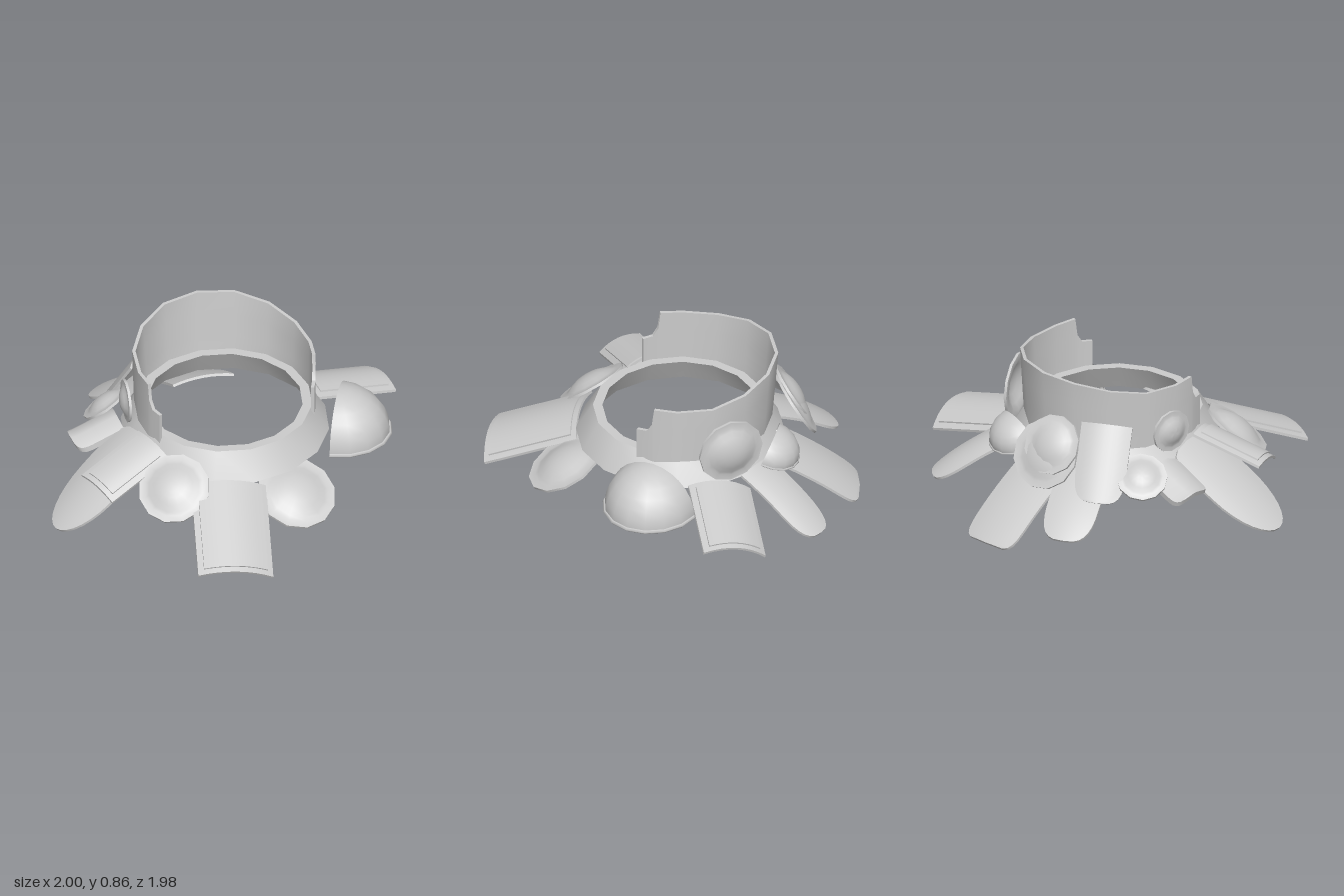
import * as THREE from 'three';
import { toCreasedNormals } from 'three/addons/utils/BufferGeometryUtils.js';

const mat = new THREE.MeshStandardMaterial({ color: 0xcccccc, side: THREE.DoubleSide });
const CX = 0.01, CZ = -0.05;
const v2 = (a) => a.map(([x, y]) => new THREE.Vector2(x, y));

// Local +y runs along the axis, local +z follows the face normal.
function place(obj, pos, axis, normal) {
  const y = new THREE.Vector3(...axis).normalize();
  const x = new THREE.Vector3().crossVectors(y, new THREE.Vector3(...normal)).normalize();
  const z = new THREE.Vector3().crossVectors(x, y);
  obj.quaternion.setFromRotationMatrix(new THREE.Matrix4().makeBasis(x, y, z));
  obj.position.set(...pos);
  return obj;
}

function bend(geo, rule) {
  const p = geo.attributes.position, v = new THREE.Vector3();
  for (let i = 0; i < p.count; i++) {
    rule(v.fromBufferAttribute(p, i));
    p.setXYZ(i, v.x, v.y, v.z);
  }
  geo.computeVertexNormals();
  return geo;
}

// Plate bowed across its width; tip and base are the exponents of its rounded ends
function plate(w, l, bow, { thick = 0.014, tip = 0, base = 0, segs = 8, droop = 0, lift = 0, span = w } = {}) {
  const geo = bend(new THREE.BoxGeometry(w, l, thick, segs, 16, 1), (v) => {
    const t = Math.sin((v.y / l) * Math.PI);
    const p = t > 0 ? tip : base;
    if (p) {
      v.x *= Math.max(0.02, Math.pow(Math.max(0, 1 - Math.pow(Math.abs(t), p)), 1 / p));
      v.y = (t * l) / 2;
    }
    v.z += lift - bow * Math.pow(v.x / (span / 2), 2) - droop * Math.pow((2 * v.y) / l, 2);
  });
  return new THREE.Mesh(geo, mat);
}

// Bowed rectangular shield with a raised field inside a border
function rectShield(w, l, bow) {
  const g = new THREE.Group();
  g.add(plate(w, l, bow));
  g.add(plate(w - 0.06, l - 0.06, bow, { lift: 0.008, span: w }));
  return g;
}

// Round shield: hollow dome inside a flat rim
function roundShield(r, d) {
  const pts = v2([[0, d - 0.012], [0.35 * r, 0.83 * d - 0.012], [0.62 * r, 0.42 * d - 0.012], [0.8 * r, -0.008],
    [r, -0.008], [r, 0.006], [0.82 * r, 0.006], [0.72 * r, 0.25 * d], [0.55 * r, 0.58 * d],
    [0.35 * r, 0.85 * d], [0.17 * r, 0.97 * d], [0, d]]);
  const geo = new THREE.LatheGeometry(pts, 12).rotateX(Math.PI / 2);
  return new THREE.Mesh(toCreasedNormals(geo, 0.7), mat);
}

// Half of a dome, cut flat on the inner side, with a lip round its base
function halfDome(r, h, out, pos, dir, tilt) {
  const g = new THREE.Group();
  g.add(new THREE.Mesh(new THREE.SphereGeometry(1, 8, 7, 0, Math.PI, 0, Math.PI / 2), mat));
  g.add(new THREE.Mesh(new THREE.TorusGeometry(1, 0.045, 5, 8, Math.PI).rotateX(Math.PI / 2), mat));
  g.scale.set(r, h, out);
  g.rotation.set(tilt, Math.atan2(dir[0], dir[1]), 0, 'YXZ');
  g.position.set(...pos);
  return g;
}

function collar() {
  const pts = v2([[0.41, 0.5], [0.49, 0.35], [0.55, 0.35], [0.46, 0.5], [0.41, 0.5]]);
  const m = new THREE.Mesh(toCreasedNormals(new THREE.LatheGeometry(pts, 16), 0.6), mat);
  m.position.set(CX, 0, CZ);
  return m;
}

// Curved wall round the back, taller in the middle and notched at both ends
function backWall() {
  const cols = [[0, 0.85], [22.5, 0.843], [45, 0.815], [67.5, 0.785], [90, 0.78],
    [105, 0.785], [106.5, 0.69], [110, 0.645], [117, 0.64]];
  const n = cols.length - 1;
  const geo = bend(new THREE.BoxGeometry(1, 1, 0.018, 2 * n, 3, 1), (v) => {
    const k = Math.round(v.x * 2 * n);
    const [deg, top] = cols[Math.abs(k)];
    const a = (Math.sign(k) * deg * Math.PI) / 180;
    const y = 0.44 + (v.y + 0.5) * (top - 0.44);
    const r = 0.468 + v.z + Math.max(0, Math.cos(a)) * (0.005 + (y - 0.44) * 0.08);
    v.set(CX - r * Math.sin(a), y, CZ - r * Math.cos(a));
  });
  return new THREE.Mesh(toCreasedNormals(geo, 0.6), mat);
}

export function createModel() {
  const model = new THREE.Group();
  const add = (name, obj) => { obj.name = name; model.add(obj); };
  add('collarRing', collar());
  add('backWall', backWall());

  // Rectangular shields: width, length, bow, position, axis, normal
  [['frontRectShield', 0.40, 0.55, 0.05, [-0.18, 0.26, 0.725], [-0.09, -0.19, 0.4], [0.011, 0.352, 0.17]],
    ['rightRectShield', 0.24, 0.40, 0.03, [-0.625, 0.415, 0.23], [-0.36, -0.11, 0.15], [-0.0125, 0.0885, 0.029]],
    ['leftRectShield', 0.34, 0.48, 0.05, [0.735, 0.31, -0.33], [0.95, -0.24, -0.2], [0.21, 0.95, -0.26]],
  ].forEach(([name, w, l, bow, ...at]) => add(name, place(rectShield(w, l, bow), ...at)));

  // Round shields: radius, depth, position, axis, normal
  [['frontRoundShield', 0.21, 0.05, [0.22, 0.268, 0.55], [0, -0.45, 0.88], [0.08, 0.88, 0.45]],
    ['frontRightRoundShield', 0.19, 0.05, [-0.415, 0.35, 0.43], [0, -0.5, 0.8], [-0.32, 0.82, 0.4]],
    ['rightWallShield', 0.115, 0.035, [-0.51, 0.555, -0.125], [0, -1, 0], [-1, 0.32, -0.08]],
    ['backRightRoundShield', 0.135, 0.04, [-0.55, 0.38, -0.37], [-0.5, -0.5, -0.4], [-0.5, 0.75, -0.4]],
    ['backRoundShieldUpper', 0.16, 0.04, [-0.14, 0.51, -0.635], [0, -0.8, -0.5], [-0.22, 0.52, -0.82]],
    ['backRoundShieldLower', 0.19, 0.04, [-0.115, 0.455, -0.655], [0, -0.8, -0.5], [-0.22, 0.52, -0.82]],
    ['leftWallShield', 0.18, 0.05, [0.465, 0.535, -0.33], [0, -1, 0], [0.88, 0.3, -0.42]],
  ].forEach(([name, r, d, ...at]) => add(name, place(roundShield(r, d), ...at)));

  // Slabs with rounded ends
  [['longRightSlab', plate(0.36, 0.67, 0.03, { tip: 2, base: 4, droop: 0.02 }),
    [-0.745, 0.26, 0.11], [-0.5, -0.37, 0.18], [-0.58, 0.8, 0.08]],
  ['backSlab', plate(0.34, 0.58, 0.02, { tip: 6, droop: 0.02 }),
    [0.01, 0.18, -0.76], [-0.07, -0.56, -0.83], [0, 0.83, -0.56]],
  ['backRightSlab', plate(0.28, 0.48, 0.02, { tip: 3, droop: 0.02 }),
    [-0.35, 0.265, -0.67], [-0.42, -0.5, -0.72], [-0.25, 0.86, -0.42]],
  ['backLeftSlab', plate(0.23, 0.5, 0.02, { tip: 3, droop: 0.02 }),
    [0.485, 0.26, -0.64], [0.5, -0.5, -0.68], [0.28, 0.86, -0.4]],
  ['uprightSlab', plate(0.27, 0.42, 0.03, { tip: 3.5 }),
    [-0.395, 0.45, -0.515], [-0.28, -0.83, -0.42], [-0.55, 0.5, -0.65]],
  ['facetedSlab', plate(0.22, 0.27, 0.05, { thick: 0.03, tip: 5, segs: 3 }),
    [-0.665, 0.365, -0.215], [-0.9, -0.35, 0.02], [-0.35, 0.9, -0.1]],
  ].forEach(([name, mesh, ...at]) => add(name, place(mesh, ...at)));

  // Half domes: radius, height, depth, position, outward direction, tilt
  add('leftHalfDome', halfDome(0.25, 0.25, 0.275, [0.595, 0.28, 0.075], [0.88, 0.46], 0));
  add('backHalfDome', halfDome(0.165, 0.13, 0.17, [0.235, 0.4, -0.52], [0.2, -0.98], 0.38));
  return model;
}
